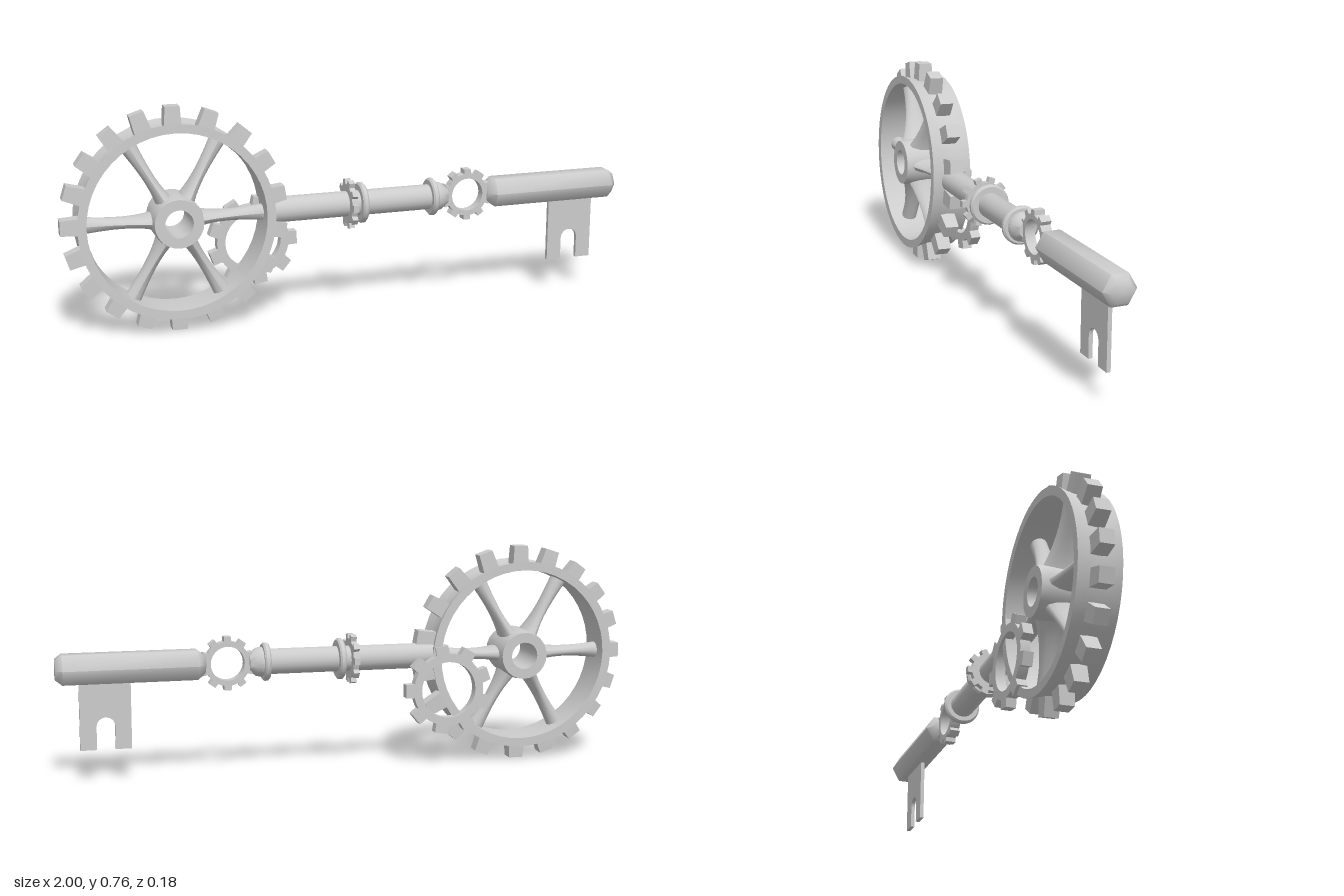
import * as THREE from 'three';
import { toCreasedNormals } from 'three/addons/utils/BufferGeometryUtils.js';

const AXIS_Y = 0.385;
const mat = new THREE.MeshStandardMaterial({ color: 0xcccccc });

function add(parent, name, geometry) {
  const mesh = new THREE.Mesh(geometry, mat);
  mesh.name = name;
  parent.add(mesh);
  return mesh;
}

// Revolved profile of [radius, position] pairs, creased at hard edges
function turned(profile, sides, crease = 0.5) {
  const points = profile.map(([r, y]) => new THREE.Vector2(r, y));
  return toCreasedNormals(new THREE.LatheGeometry(points, sides), crease);
}

// Flat toothed ring centred on z = 0
function gearGeometry(teeth, outer, body, hole, depth, start = 0) {
  const shape = new THREE.Shape();
  const step = (Math.PI * 2) / teeth;
  const corners = [[-0.27, body], [-0.21, outer], [0.21, outer], [0.27, body], [0.5, body]];
  for (let i = 0; i < teeth; i++) {
    corners.forEach(([f, r], j) => {
      const a = start + (i + f) * step;
      const x = Math.cos(a) * r, y = Math.sin(a) * r;
      if (i + j === 0) shape.moveTo(x, y);
      else shape.lineTo(x, y);
    });
  }
  shape.closePath();
  const inner = new THREE.Path();
  inner.absarc(0, 0, hole, 0, Math.PI * 2, true);
  shape.holes.push(inner);
  const g = new THREE.ExtrudeGeometry(shape, { depth, bevelEnabled: false, curveSegments: 16 });
  g.translate(0, 0, -depth / 2);
  return toCreasedNormals(g, 0.4);
}

// Spoke along +y: deep and flared at the hub, pinched, then wide at the rim
function spokeGeometry() {
  const r0 = 0.055, r1 = 0.308;
  const g = new THREE.CylinderGeometry(1, 1, 1, 12, 10, true);
  const p = g.attributes.position;
  for (let i = 0; i < p.count; i++) {
    const t = p.getY(i) + 0.5;
    const halfWidth = 0.014 + 0.02 * (1 - t) ** 4 + 0.016 * t ** 2;
    const halfDepth = 0.028 + 0.05 * (1 - t) ** 2.5;
    p.setXYZ(i, p.getX(i) * halfWidth, r0 + (r1 - r0) * t, p.getZ(i) * halfDepth);
  }
  g.computeVertexNormals();
  return g;
}

function buildWheel() {
  const wheel = new THREE.Group();
  wheel.name = 'bowWheel';
  // Rim with a shallow outer groove
  add(wheel, 'rim', turned([
    [0.3, -0.071], [0.33, -0.071], [0.32, -0.035], [0.316, 0], [0.32, 0.035],
    [0.33, 0.071], [0.3, 0.071], [0.297, 0], [0.3, -0.071],
  ], 48).rotateX(Math.PI / 2));
  // Hub sleeve
  add(wheel, 'hub', turned([
    [0.047, -0.087], [0.082, -0.087], [0.086, -0.06], [0.086, 0.06],
    [0.082, 0.087], [0.047, 0.087], [0.047, -0.087],
  ], 24).rotateX(Math.PI / 2));
  for (let i = 0; i < 6; i++) {
    add(wheel, 'spoke', spokeGeometry()).rotation.z = (i * Math.PI) / 3 - Math.PI / 2;
  }
  // Rim teeth: 20 degree spacing on one half, 18 on the other
  const angles = [];
  for (let a = -90; a < 90; a += 20) angles.push(a);
  for (let a = 90; a < 270; a += 18) angles.push(a);
  for (const a of angles) {
    const g = new THREE.BoxGeometry(0.058, 0.067, 0.054);
    const p = g.attributes.position;
    for (let i = 0; i < p.count; i++) {
      if (p.getY(i) > 0) {
        p.setX(i, p.getX(i) * 0.86);
        p.setZ(i, p.getZ(i) * 0.9);
      }
    }
    g.translate(0, 0.3475, 0);
    g.computeVertexNormals();
    add(wheel, 'rimTooth', g).rotation.z = THREE.MathUtils.degToRad(a - 90);
  }
  wheel.position.set(-0.619, 0.384, 0);
  wheel.rotation.set(-0.025, -0.025, 0);
  return wheel;
}

export function createModel() {
  const key = new THREE.Group();
  key.name = 'gearKey';
  key.add(buildWheel());

  // Offset gear behind the wheel
  add(key, 'sideGear', gearGeometry(9, 0.157, 0.127, 0.098, 0.035)).position.set(-0.343, 0.27, -0.053);

  // Parts turned around the shaft axis; profile positions are x values
  const shaft = new THREE.Group();
  shaft.name = 'shaft';
  shaft.position.y = AXIS_Y;
  key.add(shaft);
  const along = (name, profile, sides) =>
    add(shaft, name, turned(profile, sides, 0.6).rotateZ(-Math.PI / 2));

  along('stem', [[0, -0.31], [0.044, -0.31], [0.044, 0.29], [0.052, 0.312], [0.048, 0.328], [0.03, 0.352], [0, 0.352]], 20);
  const ring = (x, r, w) => along('collar',
    [[0.03, x - w], [r - 0.006, x - w], [r, x - w / 2], [r, x + w / 2], [r - 0.006, x + w], [0.03, x + w]], 24);
  ring(0.034, 0.071, 0.011);
  ring(0.295, 0.066, 0.011);

  // Toothed collar across the stem
  const collar = add(shaft, 'toothedCollar', gearGeometry(10, 0.087, 0.07, 0.03, 0.02));
  collar.rotation.y = Math.PI / 2;
  collar.position.x = -0.009;

  // Small open gear linking stem and barrel
  add(shaft, 'linkGear', gearGeometry(10, 0.092, 0.076, 0.058, 0.036, Math.PI / 10)).position.x = 0.427;

  // Six-sided barrel with chamfered ends
  const barrel = new THREE.LatheGeometry(
    [[0, 0.502], [0.033, 0.502], [0.057, 0.53], [0.057, 0.978], [0.038, 1], [0, 1]]
      .map(([r, y]) => new THREE.Vector2(r, y)), 6);
  add(shaft, 'barrel', toCreasedNormals(barrel, 1.1).rotateZ(-Math.PI / 2));

  // Flat bit with an arched slot
  const bit = new THREE.Shape();
  bit.moveTo(0.753, 0.37);
  bit.lineTo(0.753, 0.11);
  bit.lineTo(0.807, 0.11);
  bit.lineTo(0.807, 0.188);
  bit.absarc(0.838, 0.188, 0.031, Math.PI, 0, true);
  bit.lineTo(0.869, 0.11);
  bit.lineTo(0.924, 0.11);
  bit.lineTo(0.924, 0.37);
  bit.closePath();
  const bitGeometry = new THREE.ExtrudeGeometry(bit, { depth: 0.014, bevelEnabled: false, curveSegments: 10 });
  add(key, 'bit', bitGeometry.translate(0, 0, -0.007));

  return key;
}
